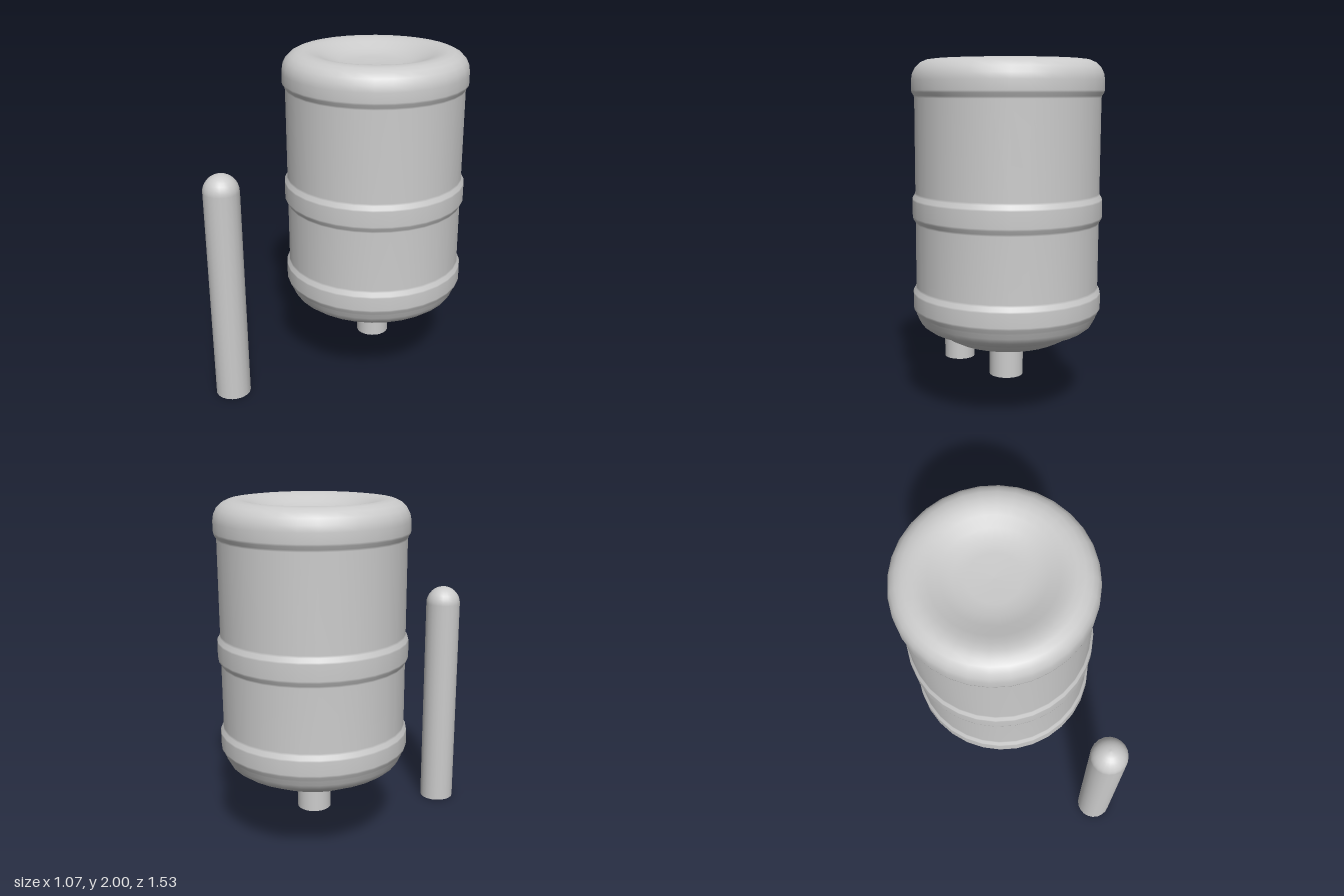
import * as THREE from 'three';

const material = new THREE.MeshStandardMaterial({ color: 0xcccccc, side: THREE.DoubleSide });

// Smooth surface of revolution from [radius, height] pairs, bottom to top,
// turned by half a segment so a flat side faces each axis.
function lathe(name, profile, sides) {
  const points = profile.map(([r, y]) => new THREE.Vector2(r, y));
  const mesh = new THREE.Mesh(new THREE.LatheGeometry(points, sides, Math.PI / sides), material);
  mesh.name = name;
  return mesh;
}

// Raised band around the bottle wall between two heights
const WALL = 0.522, BAND = 0.539;
const band = (y0, y1) => [
  [WALL, y0 - 0.012], [WALL + 0.003, y0], [BAND - 0.002, y0 + 0.018], [BAND, y0 + 0.03],
  [BAND, y1 - 0.03], [BAND - 0.002, y1 - 0.02], [WALL + 0.003, y1], [WALL, y1 + 0.012],
];

export function createModel() {
  const model = new THREE.Group();
  model.name = 'waterBottleAndTube';

  // Upside-down bottle
  const bottle = new THREE.Group();
  bottle.name = 'bottle';
  bottle.position.z = -0.231;
  model.add(bottle);

  bottle.add(lathe('bottleBody', [
    // shallow shoulder cone with a small step
    [0.097, 0.365], [0.17, 0.374], [0.25, 0.39], [0.31, 0.408], [0.36, 0.433],
    [0.385, 0.455], [0.4, 0.466], [0.43, 0.474], [0.465, 0.487], [0.495, 0.51],
    [0.511, 0.54], [0.52, 0.565],
    // wall with bands
    ...band(0.577, 0.715),
    ...band(1.1, 1.25),
    // rounded rim
    [WALL, 1.788], [WALL + 0.003, 1.8], [BAND - 0.002, 1.818], [BAND, 1.83],
    [BAND, 1.885], [0.533, 1.92], [0.517, 1.953], [0.49, 1.979], [0.455, 1.995], [0.415, 2],
    // dished top
    [0.375, 1.995], [0.33, 1.98], [0.27, 1.955], [0.21, 1.936], [0.14, 1.927], [0, 1.924],
  ], 32));

  // Open neck below the bottle
  bottle.add(lathe('neck', [[0.098, 0.185], [0.098, 0.367]], 32));

  // Round-topped tube, open at the foot
  const radius = 0.104, shoulder = 1.302, steps = 8;
  const profile = [[radius, 0], [radius, shoulder]];
  for (let i = 1; i <= steps; i++) {
    const a = (i / steps) * Math.PI / 2;
    profile.push([i === steps ? 0 : radius * Math.cos(a), shoulder + radius * Math.sin(a)]);
  }
  const tube = lathe('standingTube', profile, 20);
  tube.position.set(-0.353, 0, 0.664);
  model.add(tube);

  return model;
}
